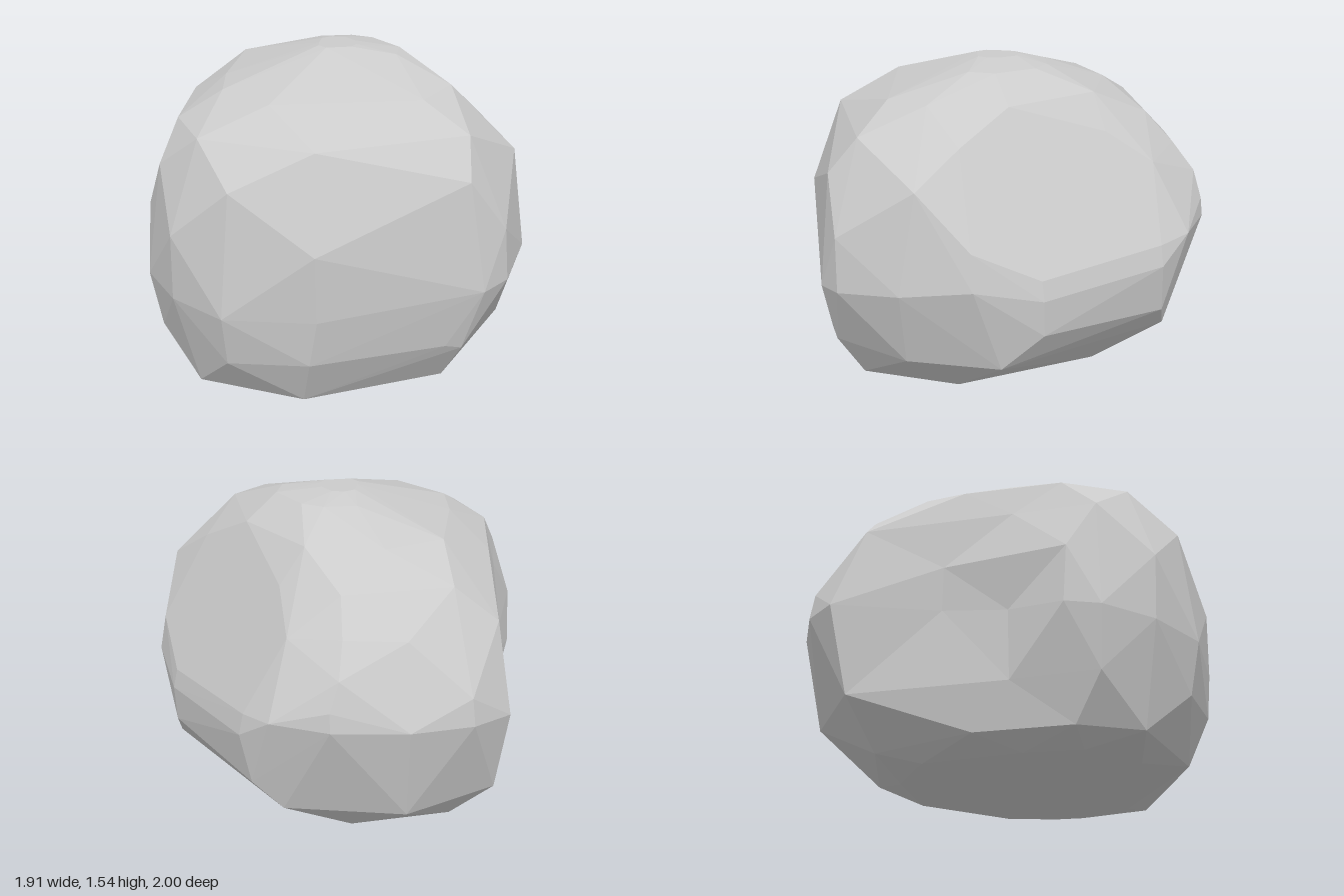
import * as THREE from 'three';
import { ConvexGeometry } from 'three/addons/geometries/ConvexGeometry.js';

// Plan outline at the widest height, clockwise from the back
const outline = [
  [-0.28, -1], [0, -1], [0.17, -0.93], [0.68, -0.53], [0.87, -0.27], [0.955, 0.05],
  [0.94, 0.37], [0.86, 0.5], [0.2, 0.92], [-0.22, 1], [-0.5, 0.9], [-0.7, 0.73],
  [-0.76, 0.58], [-0.84, 0.3], [-0.9, 0], [-0.96, -0.48], [-0.84, -0.68], [-0.6, -0.87],
];

// Outline scale and offset going up from the foot to the crown
const levels = [
  { y: 0, sx: 0.56, sz: 0.59, x: -0.08, z: 0.11 },
  { y: 0.06, sx: 0.75, sz: 0.75, x: -0.05, z: 0.13 },
  { y: 0.27, sx: 0.91, sz: 0.92, x: -0.02, z: 0.03 },
  { y: 0.85, sx: 0.98, sz: 1, x: 0, z: 0.01 },
  { y: 1.1, sx: 0.9, sz: 0.88, x: 0, z: 0.05 },
  { y: 1.27, sx: 0.79, sz: 0.77, x: -0.01, z: 0.07 },
  { y: 1.4, sx: 0.59, sz: 0.55, x: 0, z: 0.04 },
  { y: 1.51, sx: 0.25, sz: 0.2, x: 0.06, z: -0.07 },
  { y: 1.54, sx: 0.1, sz: 0.11, x: 0, z: -0.01 },
];

// Single corners that stand out from the rings: [x, y, z]
const knobs = [
  // fuller back, low on the left
  [0.68, 0.6, -0.53], [0.17, 0.64, -0.93], [0.67, 0.43, -0.53], [0.74, 0.26, -0.35], [0.12, 0.4, -0.92],
  // back shoulder
  [-0.3, 0.98, -0.94], [-0.28, 1.12, -0.83],
  // ridge along the break
  [0.58, 1.41, 0.08], [0.88, 1.1, 0],
  // lower front crease
  [0.16, 0.3, 0.91], [0.7, 0.3, 0.55],
];

// Broad flat break on the back, toward the model's left
const slope = new THREE.Plane(new THREE.Vector3(0.566, 0.489, -0.665).normalize(), -1.055);

function boulderPoints() {
  // Widest ring, a little lower at the front
  const points = outline.map(([x, z]) => new THREE.Vector3(x, 0.64 - 0.12 * z, z));
  // Other rings take every second corner, staggered so the facets interlock
  levels.forEach((level, row) => {
    for (let i = (row + 1) % 2; i < outline.length; i += 2) {
      const [x, z] = outline[i];
      points.push(new THREE.Vector3(x * level.sx + level.x, level.y, z * level.sz + level.z));
    }
  });
  for (const knob of knobs) points.push(new THREE.Vector3(...knob));
  // Corners beyond the break are brought down onto it
  for (const p of points) {
    if (slope.distanceToPoint(p) > 0) slope.projectPoint(p, p);
  }
  return points;
}

// Press a hollow into the right side, deepest at mid height
function hollowSide(geometry) {
  const pos = geometry.attributes.position;
  for (let i = 0; i < pos.count; i++) {
    const x = pos.getX(i), y = pos.getY(i), z = pos.getZ(i);
    const depth = 0.12 - 0.16 * Math.abs(y - 0.65);
    if (x < -0.7 && z > -0.05 && z < 0.45 && depth > 0.04) pos.setX(i, x + depth);
  }
  geometry.computeVertexNormals();
}

export function createModel() {
  const geometry = new ConvexGeometry(boulderPoints());
  hollowSide(geometry);

  const boulder = new THREE.Mesh(
    geometry,
    new THREE.MeshStandardMaterial({ color: 0xcccccc, flatShading: true })
  );
  boulder.name = 'boulder';

  const group = new THREE.Group();
  group.name = 'rock';
  group.add(boulder);
  return group;
}
